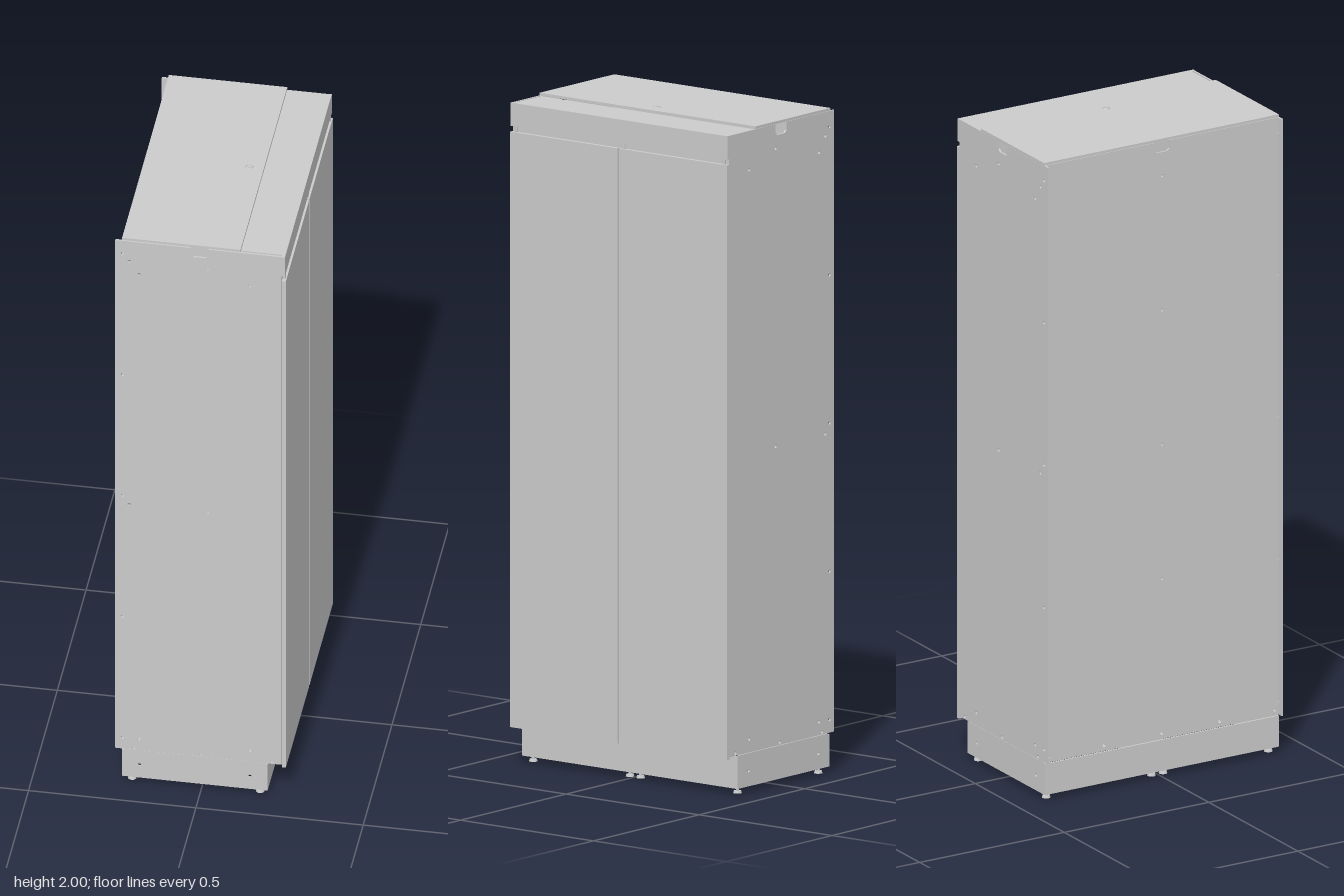
import * as THREE from 'three';

const grey = new THREE.MeshStandardMaterial({ color: 0xcccccc, side: THREE.DoubleSide });

export function createModel() {
  const model = new THREE.Group();
  model.name = 'cabinet';

  const add = (name, geometry, parent = model) => {
    const mesh = new THREE.Mesh(geometry, grey);
    mesh.name = name;
    parent.add(mesh);
    return mesh;
  };

  // Box given by its limits on each axis
  const box = (name, x0, x1, y0, y1, z0, z1, parent) => {
    const mesh = add(name, new THREE.BoxGeometry(x1 - x0, y1 - y0, z1 - z0), parent);
    mesh.position.set((x0 + x1) / 2, (y0 + y1) / 2, (z0 + z1) / 2);
    return mesh;
  };

  // Upright sheet with drilled holes and an optional cable notch in its top edge
  const sheet = (x0, x1, y0, y1, holes, notchX, thickness, radius = 0.005) => {
    const s = new THREE.Shape();
    s.moveTo(x0, y0);
    s.lineTo(x1, y0);
    s.lineTo(x1, y1);
    if (notchX !== null) {
      s.lineTo(notchX + 0.026, y1);
      s.lineTo(notchX + 0.026, 1.962);
      s.lineTo(notchX + 0.018, 1.954);
      s.lineTo(notchX - 0.018, 1.954);
      s.lineTo(notchX - 0.026, 1.962);
      s.lineTo(notchX - 0.026, y1);
    }
    s.lineTo(x0, y1);
    s.closePath();
    for (const [x, y] of holes) {
      const h = new THREE.Path();
      h.absarc(x, y, radius, 0, Math.PI * 2, true);
      s.holes.push(h);
    }
    return new THREE.ExtrudeGeometry(s, { depth: thickness, bevelEnabled: false, curveSegments: 8 });
  };

  // Side panels with folded rear and front edges
  const sideHoles = [
    [-0.235, 1.94], [-0.215, 1.915], [-0.185, 1.87], [0.02, 1.915], [0.145, 1.87],
    [-0.235, 1.495], [-0.235, 1.05], [-0.215, 1.02], [0.02, 1.02], [-0.235, 0.605],
    [-0.235, 0.16], [-0.185, 0.16], [0.145, 0.16], [-0.2, 0.128], [0, 0.128], [0.21, 0.128],
  ];
  for (const s of [-1, 1]) {
    const panel = add('sidePanel', sheet(-0.257, 0.24, 0.12, 1.987, sideHoles, -0.005, 0.006));
    panel.position.z = s > 0 ? 0.401 : -0.407;
    const z0 = s > 0 ? 0.37 : -0.401;
    box('frontPost', 0.225, 0.238, 0.13, 1.98, z0, z0 + 0.031);
  }

  // Recessed back panel
  const backHoles = [[0, 1.88], [0, 1.46], [0, 1.04], [0, 0.62]];
  for (const z of [-0.39, -0.2, 0, 0.2, 0.39]) backHoles.push([z, 0.135]);
  const back = add('backPanel', sheet(-0.401, 0.401, 0.12, 1.987, backHoles, 0, 0.005));
  back.rotation.y = Math.PI / 2;
  back.position.x = -0.237;

  // Top: raised lid and the lower strip in front of it
  box('topLid', -0.237, 0.117, 1.988, 1.996, -0.408, 0.404);
  box('topFrontStrip', 0.117, 0.24, 1.98, 1.987, -0.401, 0.396);
  const lidFitting = new THREE.Group();
  lidFitting.name = 'lidFitting';
  lidFitting.position.set(0.073, 1.996, -0.003);
  model.add(lidFitting);
  add('fittingCap', new THREE.CylinderGeometry(0.011, 0.013, 0.004, 24), lidFitting).position.y = 0.001;
  const ring = add('fittingRing', new THREE.TorusGeometry(0.008, 0.0012, 6, 24), lidFitting);
  ring.rotation.x = Math.PI / 2;
  ring.position.y = 0.003;
  box('fittingSlot', -0.001, 0.001, 0.002, 0.004, -0.006, 0.006, lidFitting);

  // Fascia above the doors and the rail behind the gap
  box('fascia', 0.238, 0.25, 1.917, 1.987, -0.408, 0.408);
  box('fasciaRail', 0.215, 0.238, 1.885, 1.935, -0.401, 0.401);

  // Pair of doors
  for (const s of [-1, 1]) {
    const [z0, z1] = s > 0 ? [0.003, 0.408] : [-0.408, -0.003];
    box('door', 0.241, 0.253, 0.112, 1.9, z0, z1);
  }
  for (const z of [0.39, -0.015, -0.392]) {
    const pin = add('doorPin', new THREE.CylinderGeometry(0.005, 0.005, 0.018, 12));
    pin.position.set(0.245, 1.908, z);
  }
  box('centrePost', 0.225, 0.238, 0.13, 1.9, -0.02, 0.02);

  // Cabinet floor with a sunken panel over each half of the plinth
  box('floor', -0.237, 0.24, 0.118, 0.128, -0.401, 0.401);
  for (const z of [-0.2, 0.2]) {
    const frame = new THREE.Shape();
    frame.moveTo(-0.19, -0.15);
    frame.lineTo(0.15, -0.15);
    frame.lineTo(0.15, 0.15);
    frame.lineTo(-0.19, 0.15);
    frame.closePath();
    const opening = new THREE.Path();
    opening.moveTo(-0.18, -0.11);
    opening.lineTo(-0.18, 0.11);
    opening.lineTo(-0.15, 0.14);
    opening.lineTo(0.11, 0.14);
    opening.lineTo(0.14, 0.11);
    opening.lineTo(0.14, -0.11);
    opening.lineTo(0.11, -0.14);
    opening.lineTo(-0.15, -0.14);
    opening.closePath();
    frame.holes.push(opening);
    const rim = add('floorRim', new THREE.ExtrudeGeometry(frame, { depth: 0.004, bevelEnabled: false }));
    rim.rotation.x = Math.PI / 2;
    rim.position.set(0, 0.118, z);
  }

  // Open plinth frame with a central divider
  const plinth = new THREE.Group();
  plinth.name = 'plinth';
  model.add(plinth);
  box('plinthFront', 0.192, 0.198, 0.018, 0.115, -0.405, 0.405, plinth);
  box('plinthBack', -0.237, -0.231, 0.018, 0.115, -0.405, 0.405, plinth);
  const plinthHoles = [[-0.185, 0.065], [0.145, 0.065]];
  for (const z of [-0.405, -0.003, 0.399]) {
    const wall = add('plinthWall', sheet(-0.231, 0.192, 0.018, 0.118, plinthHoles, null, 0.006), plinth);
    wall.position.z = z;
  }

  // Levelling feet with corner brackets
  for (const x of [-0.21, 0.172]) {
    for (const z of [-0.384, -0.02, 0.02, 0.384]) {
      const foot = new THREE.Group();
      foot.name = 'foot';
      foot.position.set(x, 0, z);
      plinth.add(foot);
      add('footPad', new THREE.CylinderGeometry(0.011, 0.013, 0.007, 16), foot).position.y = 0.0035;
      add('footStem', new THREE.CylinderGeometry(0.005, 0.005, 0.04, 12), foot).position.y = 0.025;
      box('footBracket', -0.02, 0.02, 0.022, 0.028, -0.016, 0.016, foot);
    }
  }
  return model;
}
